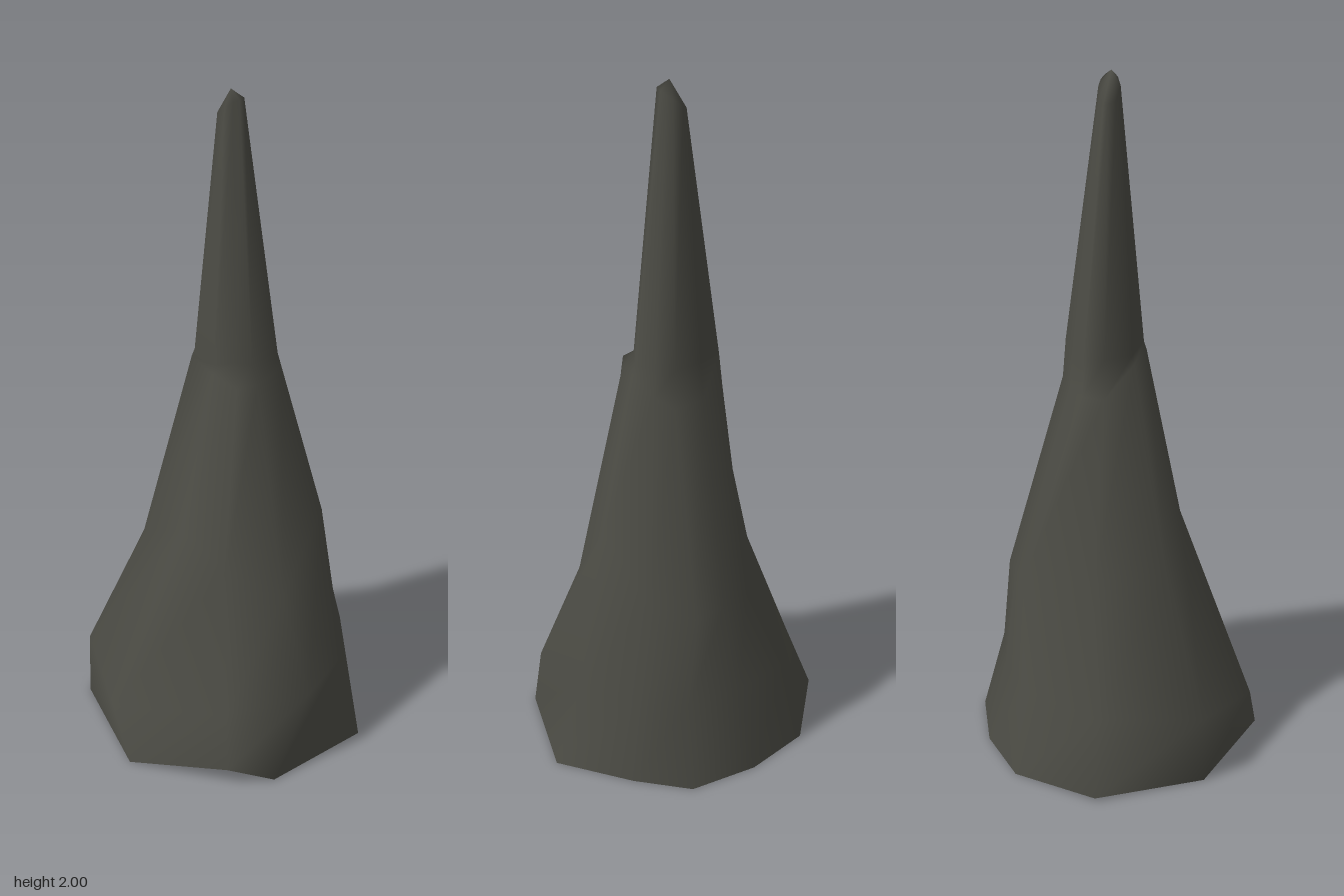
import * as THREE from 'three';

// Cross-sections, ten corners each, running left side -> back -> right side -> front
const base = [
  [-0.42, 0.01, -0.03], [-0.30, 0, -0.27], [-0.12, 0, -0.37], [0.08, 0, -0.41], [0.23, 0, -0.32],
  [0.415, 0, -0.17], [0.39, 0, 0.155], [0.325, 0.07, 0.28], [0.045, 0, 0.405], [-0.285, 0, 0.27],
];
const foot = [
  [-0.34, 0.22, -0.03], [-0.25, 0.25, -0.25], [-0.09, 0.25, -0.32], [0.07, 0.25, -0.345], [0.21, 0.25, -0.295],
  [0.34, 0.25, -0.17], [0.40, 0.25, 0.03], [0.28, 0.22, 0.24], [-0.04, 0.15, 0.39], [-0.285, 0.2, 0.265],
];
const waist = [
  [-0.205, 0.58, -0.05], [-0.13, 0.55, -0.26], [-0.05, 0.52, -0.29], [0.04, 0.51, -0.32], [0.16, 0.55, -0.25],
  [0.26, 0.74, -0.15], [0.28, 0.53, 0.02], [0.17, 0.62, 0.14], [0.03, 0.70, 0.175], [-0.16, 0.6, 0.15],
];
const shoulder = [
  [-0.105, 1.1, -0.03], [-0.11, 1.11, -0.09], [-0.04, 1.1, -0.13], [0.05, 1.1, -0.16], [0.10, 1.13, -0.13],
  [0.15, 1.19, -0.09], [0.15, 1.17, 0], [0.13, 1.17, 0.06], [0.05, 1.19, 0.075], [-0.06, 1.19, 0.05],
];

// The spire starts slightly inside the shoulder, leaving a ledge at the front right corner
const spireFoot = shoulder.map(([x, , z], i) => {
  const k = i === 7 ? 0.5 : i === 6 ? 0.75 : 0.93;
  return [0.03 + (x - 0.03) * k, 1.215, -0.03 + (z + 0.03) * k];
});

// Small slanted ring just under the tip
const spireTop = shoulder.map(([x, , z]) => {
  const a = Math.atan2(z + 0.03, x - 0.03);
  const px = 0.015 + 0.04 * Math.cos(a);
  return [px, 1.95 + 0.8 * (px - 0.015), -0.025 + 0.03 * Math.sin(a)];
});

// Skin a stack of closed rings, open at the bottom and closed by a tip point
function skin(rings, tip) {
  const n = rings[0].length;
  const index = [];
  for (let r = 0; r < rings.length; r++) {
    for (let i = 0; i < n; i++) {
      const j = (i + 1) % n;
      const a = r * n + i, b = r * n + j;
      if (r === rings.length - 1) index.push(a, rings.length * n, b);
      else index.push(a, a + n, b, b, a + n, b + n);
    }
  }
  const geometry = new THREE.BufferGeometry();
  geometry.setAttribute('position', new THREE.Float32BufferAttribute([...rings.flat(), tip].flat(), 3));
  geometry.setIndex(index);
  geometry.computeVertexNormals();
  return geometry;
}

export function createModel() {
  const stone = new THREE.MeshStandardMaterial({ color: 0x4c4c45, side: THREE.DoubleSide });
  stone.name = 'dark stone';

  const group = new THREE.Group();
  group.name = 'stalagmite';

  const rock = new THREE.Mesh(
    skin([base, foot, waist, shoulder, spireFoot, spireTop], [0.02, 2, -0.02]),
    stone,
  );
  rock.name = 'rockSpire';
  group.add(rock);
  return group;
}
